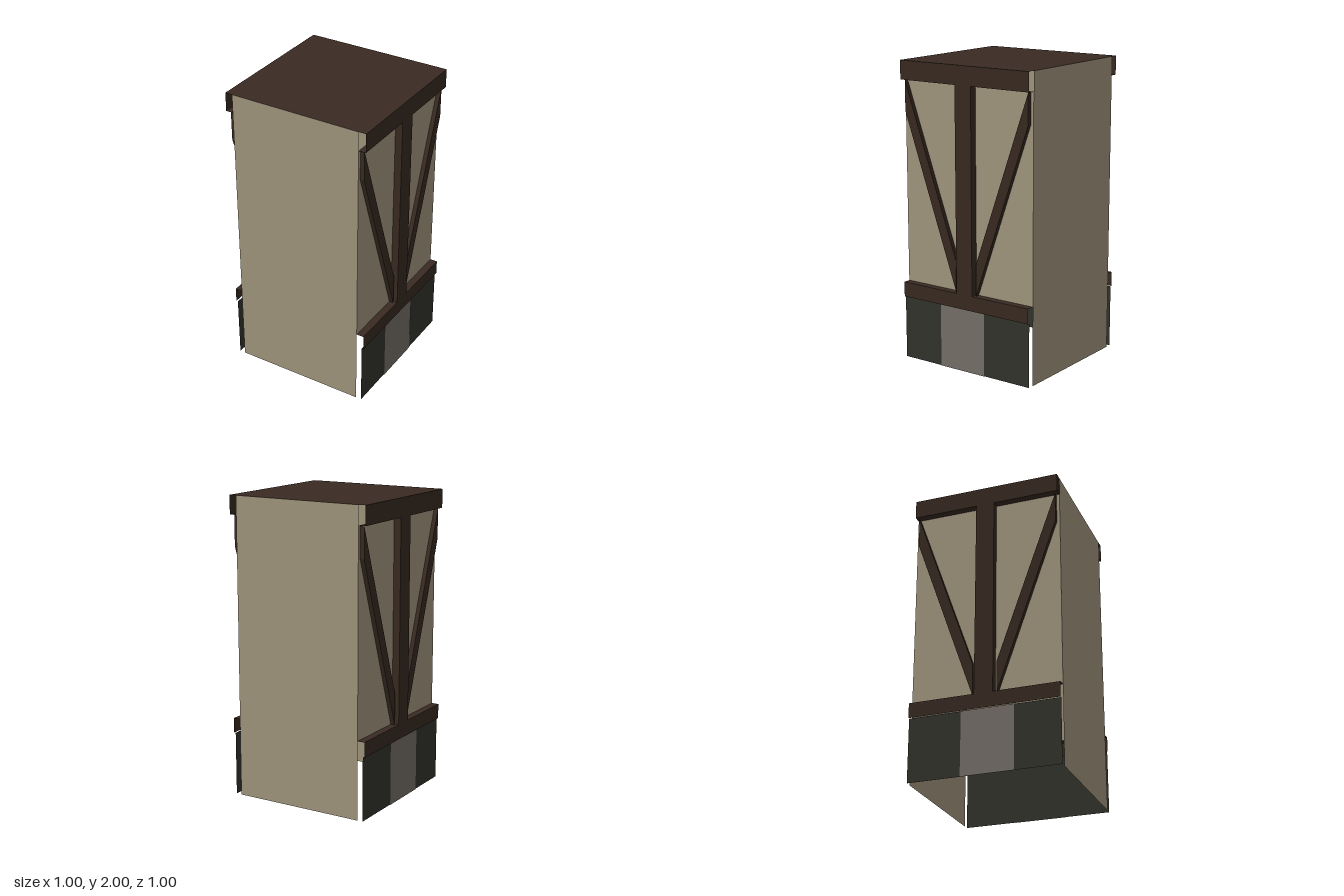
import * as THREE from 'three';

export function createModel() {
  const material = (name, color) =>
    new THREE.MeshStandardMaterial({ name, color, side: THREE.DoubleSide });
  const plaster = material('plaster', 0xa69b82);
  const timber = material('timber', 0x3a2b22);
  const darkStone = material('dark stone', 0x34342d);
  const greyStone = material('grey stone', 0x78726b);

  const add = (parent, name, geometry, mat, x, y, z) => {
    const mesh = new THREE.Mesh(geometry, mat);
    mesh.name = name;
    mesh.position.set(x, y, z);
    parent.add(mesh);
    return mesh;
  };
  // Upright sheet facing +x
  const sheet = (parent, name, mat, x, y0, y1, z, width) =>
    add(parent, name, new THREE.PlaneGeometry(width, y1 - y0).rotateY(Math.PI / 2), mat, x, (y0 + y1) / 2, z);
  // Level sheet bridging wall and beam face
  const ledge = (parent, name, y, up) =>
    add(parent, name, new THREE.PlaneGeometry(0.05, 1).rotateX(up ? -Math.PI / 2 : Math.PI / 2), timber, 0.475, y, 0);

  // Slanted brace outline, drawn across the wall and extruded outwards
  const braceGeometry = (m) => {
    const outline = [[0.48, 1.87], [0.48, 1.67], [0.08, 0.525], [0.08, 0.735]];
    const shape = new THREE.Shape(outline.map(([u, v]) => new THREE.Vector2(u * m, v)));
    return new THREE.ExtrudeGeometry(shape, { depth: 0.029, bevelEnabled: false }).rotateY(Math.PI / 2);
  };

  const model = new THREE.Group();
  model.name = 'timberFramedWall';

  // Plain end walls and flat top, open underneath
  for (const s of [1, -1]) {
    const geometry = new THREE.PlaneGeometry(0.9, 2);
    if (s < 0) geometry.rotateY(Math.PI);
    add(model, s > 0 ? 'frontWall' : 'backWall', geometry, plaster, 0, 1, s * 0.5);
  }
  add(model, 'top', new THREE.PlaneGeometry(1, 1).rotateX(-Math.PI / 2), timber, 0, 2, 0);

  // Timbered sides, built facing +x and turned for the other side
  for (const s of [1, -1]) {
    const side = new THREE.Group();
    side.name = s > 0 ? 'leftSide' : 'rightSide';
    if (s < 0) side.rotation.y = Math.PI;

    sheet(side, 'plasterPanel', plaster, 0.45, 0.525, 1.875, 0, 1);

    // Hollow beams with open ends
    sheet(side, 'topBeamFace', timber, 0.5, 1.875, 2, 0, 1);
    ledge(side, 'topBeamUnderside', 1.875, false);
    sheet(side, 'lowerBeamFace', timber, 0.5, 0.425, 0.525, 0, 1);
    ledge(side, 'lowerBeamLedge', 0.525, true);

    // Centre post and pair of braces
    add(side, 'post', new THREE.BoxGeometry(0.049, 1.35, 0.125), timber, 0.4755, 1.2, 0);
    for (const m of [1, -1]) add(side, 'brace', braceGeometry(m), timber, 0.451, 0, 0);

    // Stone footing with a paler block
    sheet(side, 'footing', darkStone, 0.488, 0, 0.425, 0, 1);
    sheet(side, 'footingBlock', greyStone, 0.492, 0, 0.425, s * 0.025, 0.35);
    model.add(side);
  }
  return model;
}
